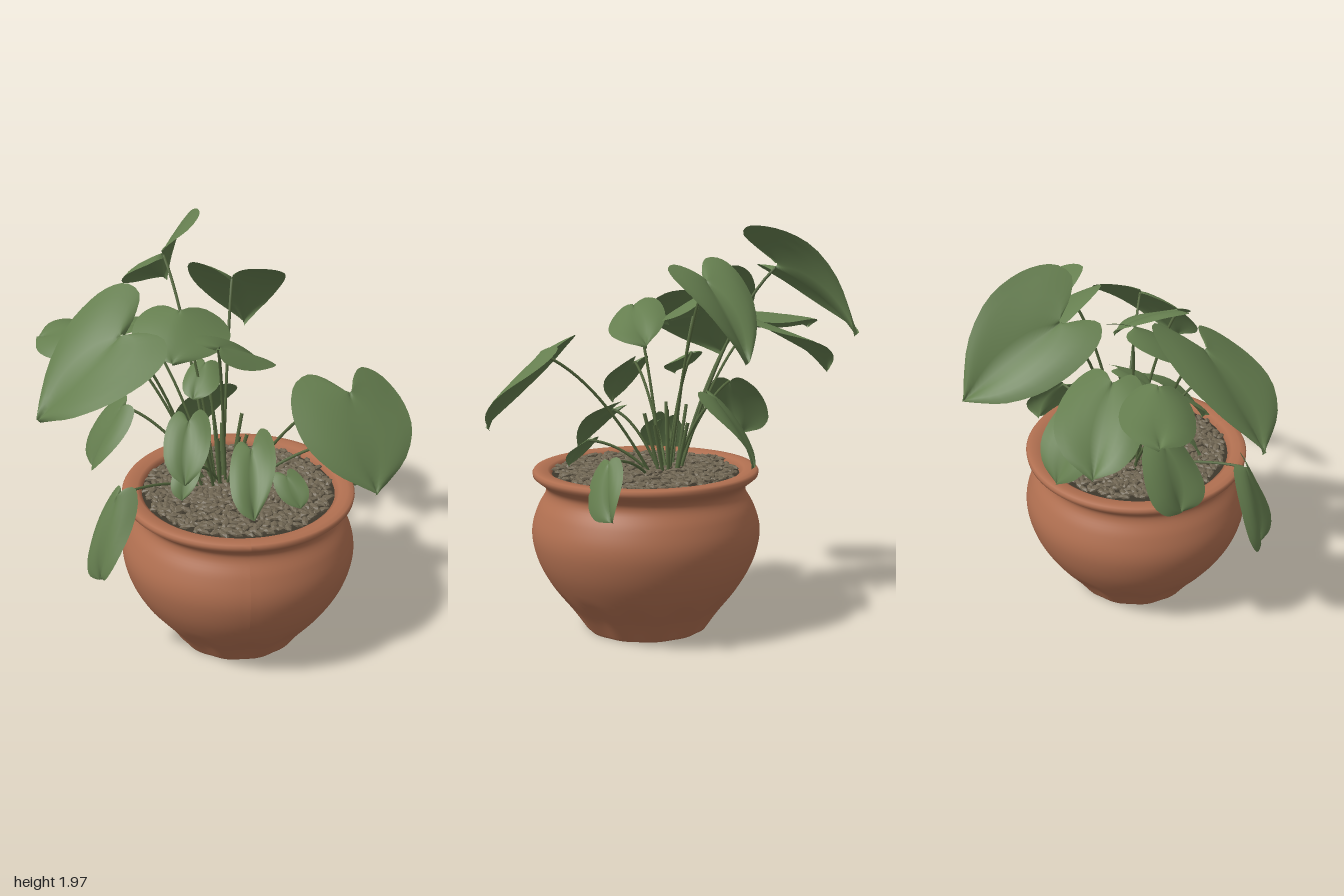
import * as THREE from 'three';
import { mergeGeometries } from 'three/addons/utils/BufferGeometryUtils.js';

const CX = 0.11, CZ = 0.22; // pot axis
const V = (p) => new THREE.Vector3(...p);

function seeded(seed) {
  return () => (seed = (seed * 16807) % 2147483647) / 2147483647;
}

// Half outline of a broad arrow-heart leaf: [across, along], notch to tip
const outline = new THREE.SplineCurve([
  [0.02, -0.02], [0.1, -0.17], [0.24, -0.29], [0.39, -0.23], [0.47, -0.06], [0.49, 0.15],
  [0.45, 0.4], [0.31, 0.68], [0.13, 0.88], [0.004, 1],
].map(([a, b]) => new THREE.Vector2(a, b)));

// Leaf blade placed by its stem joint, tip and two side lobes
function leafGeometry(base, tip, left, right) {
  const d = tip.clone().sub(base), len = d.length();
  const sideOf = (lobe) => lobe.clone().sub(base).addScaledVector(d, 0.1).divideScalar(0.45);
  const sides = { '-1': sideOf(left), '1': sideOf(right) };
  const n = d.clone().cross(left.clone().sub(right)).normalize();
  if (n.y < 0) n.negate();
  const rows = 22, half = 5, pos = [], index = [], cols = 2 * half + 1;
  for (let i = 0; i <= rows; i++) {
    const s = i / rows, o = outline.getPoint(s);
    for (let j = -half; j <= half; j++) {
      const k = Math.abs(j) / half, sign = j < 0 ? -1 : 1;
      const a = o.x * k, b = THREE.MathUtils.lerp(s, o.y, k);
      const bow = 0.28 * b * (1 - b) + 0.12 * k * (1 - k) + 0.035 * k * k * Math.sin(9 * s + sign);
      const p = base.clone().addScaledVector(d, b).addScaledVector(sides[sign], a).addScaledVector(n, bow * len);
      pos.push(p.x, p.y, p.z);
    }
  }
  for (let i = 0; i < rows; i++) {
    for (let j = 0; j < cols - 1; j++) {
      const q = i * cols + j;
      index.push(q, q + cols, q + 1, q + 1, q + cols, q + cols + 1);
    }
  }
  const g = new THREE.BufferGeometry();
  g.setAttribute('position', new THREE.Float32BufferAttribute(pos, 3));
  g.setIndex(index);
  g.computeVertexNormals();
  return g;
}

// Each leaf: stem joint, tip, side lobe, other side lobe
const leaves = {
  tallBackLeaf: [[-0.2, 1.77, -0.32], [-0.17, 1.48, -0.77], [-0.39, 1.7, -0.27], [-0.05, 1.99, -0.36]],
  upperBackLeaf: [[0.11, 1.71, -0.13], [0.2, 1.36, -0.42], [-0.09, 1.79, -0.14], [0.33, 1.77, -0.12]],
  centreLeaf: [[-0.15, 1.63, 0.06], [-0.2, 1.47, 0.3], [-0.34, 1.6, 0.05], [0.07, 1.56, 0.06]],
  upperFrontLeaf: [[0.0, 1.57, 0.37], [0.2, 1.4, 0.14], [-0.07, 1.6, 0.27], [0.15, 1.5, 0.41]],
  bigLeftLeaf: [[-0.42, 1.6, 0.27], [-0.8, 1.25, 0.37], [-0.46, 1.75, 0.02], [-0.3, 1.55, 0.51]],
  leftBackLeaf: [[-0.33, 1.49, -0.13], [-0.63, 1.23, -0.37], [-0.51, 1.46, -0.06], [-0.27, 1.48, -0.33]],
  farLeftLeaf: [[-0.49, 1.52, 0.01], [-0.81, 1.43, -0.15], [-0.6, 1.45, 0.12], [-0.52, 1.5, -0.18]],
  bigRightLeaf: [[0.57, 1.38, 0.47], [0.66, 1.01, 0.74], [0.31, 1.4, 0.55], [0.8, 1.36, 0.34]],
  smallRightLeaf: [[0.61, 0.92, 0.05], [0.72, 0.68, -0.05], [0.63, 0.82, 0.15], [0.68, 0.88, -0.06]],
  lowLeftLeaf: [[-0.46, 0.93, 0.5], [-0.55, 0.52, 0.55], [-0.56, 0.78, 0.44], [-0.42, 0.84, 0.6]],
  midLeftLeaf: [[-0.42, 1.17, 0.08], [-0.57, 0.87, 0.1], [-0.51, 1.1, -0.06], [-0.45, 1.08, 0.22]],
  lowBackLeaf: [[0.0, 1.14, -0.11], [-0.06, 0.82, -0.29], [-0.14, 1.1, -0.08], [0.13, 1.13, -0.19]],
  frontLeaf: [[0.15, 1.07, 0.38], [0.14, 0.83, 0.62], [0.05, 1.04, 0.45], [0.25, 1.12, 0.36]],
  frontLeftLeaf: [[-0.14, 1.27, 0.47], [-0.17, 1.04, 0.64], [-0.24, 1.25, 0.49], [-0.05, 1.27, 0.51]],
  innerLeaf: [[-0.03, 1.36, 0.04], [-0.1, 1.24, 0.19], [-0.11, 1.34, 0.05], [0.04, 1.33, 0.1]],
  littleFrontLeaf: [[0.31, 0.94, 0.41], [0.37, 0.81, 0.49], [0.25, 0.92, 0.43], [0.38, 0.94, 0.41]],
  littleInnerLeaf: [[-0.13, 0.97, 0.34], [-0.17, 0.84, 0.42], [-0.2, 0.96, 0.35], [-0.08, 0.98, 0.36]],
};

export function createModel() {
  const root = new THREE.Group();
  const mat = (name, color, side = THREE.FrontSide) =>
    Object.assign(new THREE.MeshStandardMaterial({ color, side }), { name });
  const terracotta = mat('terracotta', 0xb06f50);
  const leafGreen = mat('leafGreen', 0x657e4f, THREE.DoubleSide);
  const stemGreen = mat('stemGreen', 0x56693f);
  const gravelBrown = mat('gravelBrown', 0x6f6552);
  gravelBrown.flatShading = true;
  const soilBrown = mat('soilBrown', 0x3d372c);
  const add = (name, geometry, material) => {
    const m = new THREE.Mesh(geometry, material);
    m.name = name;
    root.add(m);
    return m;
  };

  // Pot: hollow foot, round belly, narrow neck, flared rim, shallow flutes low down
  const outer = new THREE.SplineCurve([
    [0.302, 0], [0.365, 0.09], [0.45, 0.2], [0.52, 0.32], [0.555, 0.43], [0.558, 0.52], [0.53, 0.61],
    [0.492, 0.68], [0.495, 0.72], [0.535, 0.755],
  ].map(([x, y]) => new THREE.Vector2(x, y))).getPoints(44);
  const foot = [[0, 0.02], [0.24, 0.018], [0.29, 0.002]];
  const rim = [[0.55, 0.768], [0.553, 0.785], [0.545, 0.797], [0.52, 0.8], [0.48, 0.795], [0.46, 0.78], [0.455, 0.72]];
  const toV2 = (p) => new THREE.Vector2(...p);
  const potGeo = new THREE.LatheGeometry([...foot.map(toV2), ...outer, ...rim.map(toV2)], 96);
  const pp = potGeo.attributes.position;
  for (let i = 0; i < pp.count; i++) {
    const x = pp.getX(i), y = pp.getY(i), z = pp.getZ(i);
    const fade = y < 0.22 ? 0.4 + 0.6 * Math.sin((Math.PI * y) / 0.22) - (0.4 * y) / 0.22 : 0;
    const f = 1 - 0.045 * fade * Math.pow(Math.abs(Math.cos(6 * Math.atan2(z, x))), 3);
    pp.setXYZ(i, x * f, y, z * f);
  }
  potGeo.computeVertexNormals();
  add('pot', potGeo, terracotta).position.set(CX, 0, CZ);

  // Soil under the gravel
  const soil = add('soil', new THREE.CircleGeometry(0.46, 48).rotateX(-Math.PI / 2), soilBrown);
  soil.position.set(CX, 0.77, CZ);

  // Gravel: flattened oval stones spread over a spiral
  const rnd = seeded(77), stones = [], count = 620;
  for (let i = 0; i < count; i++) {
    const r = 0.44 * Math.sqrt((i + 0.5) / count), t = i * 2.39996;
    const g = new THREE.IcosahedronGeometry(1, 0);
    g.scale(0.028 + 0.012 * rnd(), 0.012, 0.014 + 0.005 * rnd());
    g.rotateZ((rnd() - 0.5) * 0.6).rotateY(rnd() * Math.PI);
    g.translate(CX + r * Math.cos(t), 0.776 + 0.018 * rnd(), CZ + r * Math.sin(t));
    stones.push(g);
  }
  add('gravel', mergeGeometries(stones), gravelBrown);

  // Leaves, each on an arching stem that rises from the middle of the pot
  for (const [name, points] of Object.entries(leaves)) {
    const [base, tip, left, right] = points.map(V);
    add(name, leafGeometry(base, tip, left, right), leafGreen);
    const start = new THREE.Vector3(0.04 + 0.2 * base.x + 0.05 * (rnd() - 0.5), 0.77, 0.13 + 0.12 * base.z + 0.05 * (rnd() - 0.5));
    const bend = start.clone().lerp(base, 0.5);
    bend.y = THREE.MathUtils.lerp(start.y, base.y, 0.75) + 0.03;
    const path = new THREE.QuadraticBezierCurve3(start, bend, base);
    add(name + 'Stem', new THREE.TubeGeometry(path, 16, 0.007, 6), stemGreen);
  }

  // Short young shoots at the centre
  for (let i = 0; i < 7; i++) {
    const a = i * 2.4, start = new THREE.Vector3(0.04 + 0.05 * Math.cos(a), 0.77, 0.13 + 0.05 * Math.sin(a));
    const end = new THREE.Vector3(start.x + 0.07 * Math.cos(a), 1.0 + 0.12 * rnd(), start.z + 0.07 * Math.sin(a));
    add('shoot', new THREE.TubeGeometry(new THREE.LineCurve3(start, end), 2, 0.009, 6), stemGreen);
  }
  return root;
}
